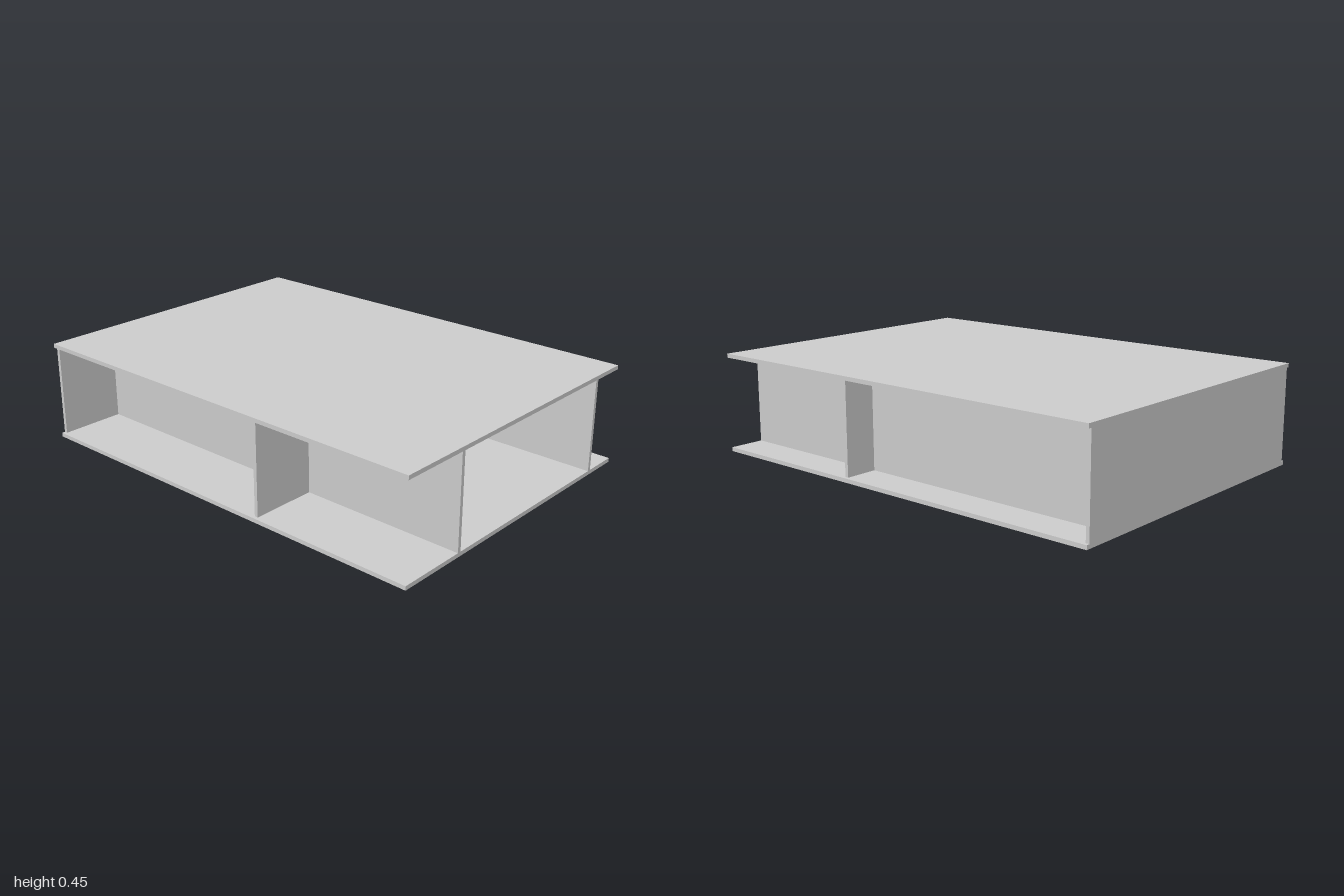
import * as THREE from 'three';

const material = new THREE.MeshStandardMaterial({ color: 0xcccccc });

// Board given by its extents along each axis
function board(name, [x0, x1], [y0, y1], [z0, z1]) {
  const mesh = new THREE.Mesh(new THREE.BoxGeometry(x1 - x0, y1 - y0, z1 - z0), material);
  mesh.name = name;
  mesh.position.set((x0 + x1) / 2, (y0 + y1) / 2, (z0 + z1) / 2);
  return mesh;
}

export function createModel() {
  const group = new THREE.Group();
  group.name = 'lowTable';

  const halfWidth = 0.713, inset = 0.698;
  const height = 0.449, slab = 0.018, panel = 0.016;
  const inner = [slab, height - slab];
  const rightPanelX = 0.535, leftPanelX = -0.402;
  const dividerZ = [0.235, 0.235 + panel];

  // Top and bottom slabs
  group.add(board('bottomSlab', [-halfWidth, halfWidth], [0, slab], [-1, 1]));
  group.add(board('topSlab', [-halfWidth, halfWidth], [height - slab, height], [-1, 1]));

  // Closed back
  group.add(board('backPanel', [-inset, inset], inner, [-1, -1 + panel]));

  // Upright panels running front to back
  for (const x of [leftPanelX, rightPanelX]) {
    group.add(board('uprightPanel', [x, x + panel], inner, [-1 + panel, 1]));
  }

  // Short dividers splitting the open side shelves
  group.add(board('sideDivider', [rightPanelX + panel, inset], inner, dividerZ));
  group.add(board('sideDivider', [-inset, leftPanelX], inner, dividerZ));

  return group;
}
